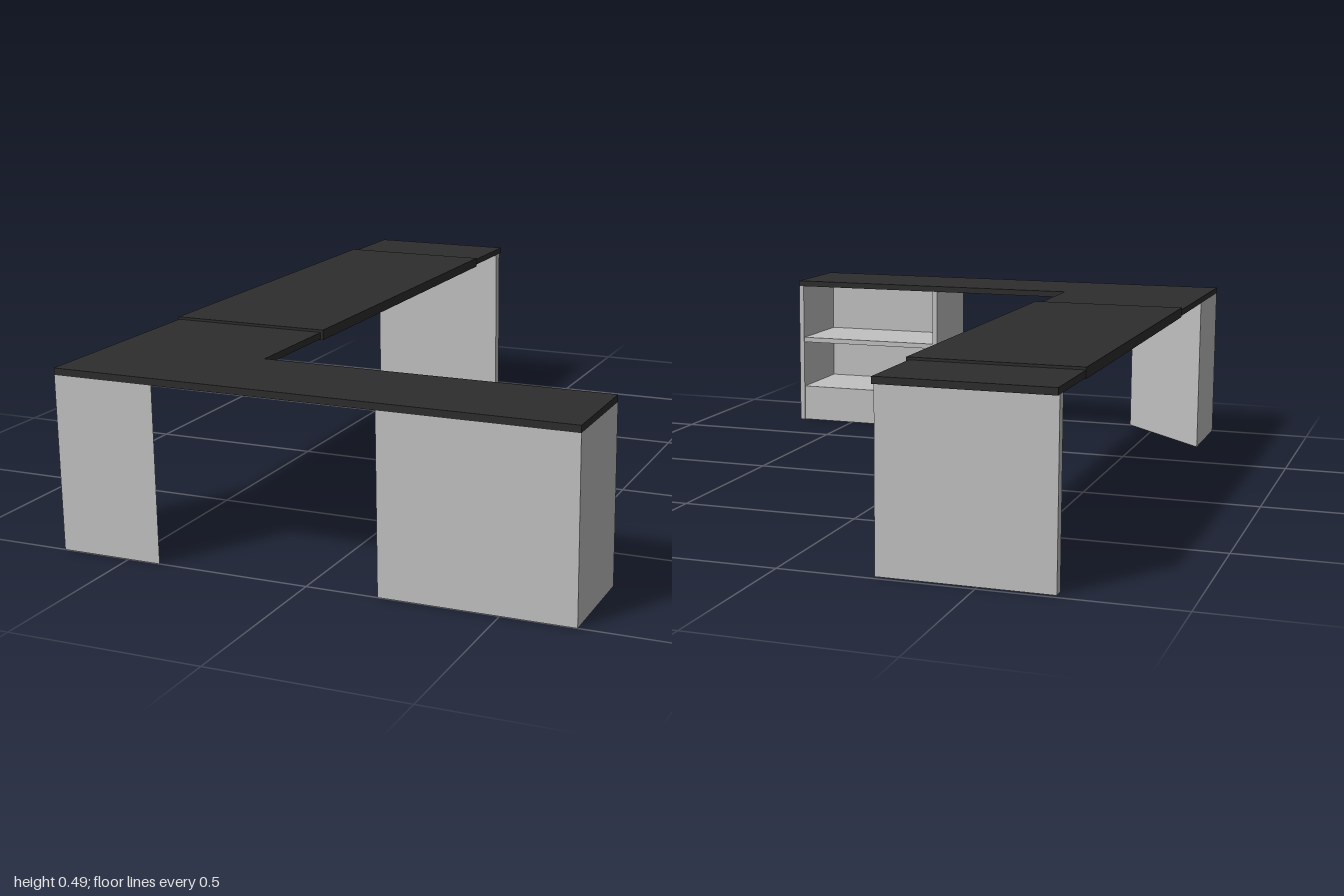
import * as THREE from 'three';

export function createModel() {
  const desk = new THREE.Group();
  desk.name = 'cornerDesk';

  const dark = new THREE.MeshStandardMaterial({ color: 0x2d2d2d });
  dark.name = 'darkTop';
  const grey = new THREE.MeshStandardMaterial({ color: 0xc2c2c2 });
  grey.name = 'greyPanel';

  // Box given by its minimum and maximum corners
  function box(parent, name, material, [x0, y0, z0], [x1, y1, z1]) {
    const geometry = new THREE.BoxGeometry(x1 - x0, y1 - y0, z1 - z0);
    geometry.translate((x0 + x1) / 2, (y0 + y1) / 2, (z0 + z1) / 2);
    const mesh = new THREE.Mesh(geometry, material);
    mesh.name = name;
    parent.add(mesh);
  }

  // Plan outline (x, z) raised from y0 to y1
  function slab(name, material, outline, y0, y1, hole) {
    const toPoints = (list) => list.map(([x, z]) => new THREE.Vector2(x, -z));
    const shape = new THREE.Shape(toPoints(outline));
    if (hole) shape.holes.push(new THREE.Path(toPoints(hole)));
    const geometry = new THREE.ExtrudeGeometry(shape, { depth: y1 - y0, bevelEnabled: false });
    geometry.rotateX(-Math.PI / 2);
    geometry.translate(0, y0, 0);
    const mesh = new THREE.Mesh(geometry, material);
    mesh.name = name;
    desk.add(mesh);
  }

  const L = -0.69, R = 0.69, under = 0.463, top = 0.481;

  // L-shaped top with a slightly raised work surface
  slab('deskTop', dark, [[L, 1], [R, 1], [R, 0.72], [-0.247, 0.72], [-0.247, -1], [L, -1]], under, top);
  box(desk, 'raisedWorkSurface', dark, [L - 0.001, 0.46, -0.75], [-0.24, 0.488, 0.4]);

  // End panel under the long wing
  box(desk, 'endPanel', grey, [L, 0, -0.985], [-0.247, under, -0.955]);

  // Hollow three-sided corner leg
  slab('cornerLeg', grey,
    [[L, 1], [-0.41, 1], [L, 0.72]], 0, under,
    [[L + 0.004, 0.996], [L + 0.004, 0.73], [-0.42, 0.996]]);

  // Cabinet open towards the back, under the short wing
  const cabinet = new THREE.Group();
  cabinet.name = 'cabinet';
  desk.add(cabinet);
  const x0 = 0.19, z0 = 0.72, t = 0.016;
  for (const [name, x] of [['cabinetInnerSide', x0], ['cabinetOuterSide', R - t]]) {
    box(cabinet, name, grey, [x, 0, z0], [x + t, under, 1]);
  }
  box(cabinet, 'cabinetFront', grey, [x0 + t, 0, 1 - t], [R - t, under, 1]);
  box(cabinet, 'plinth', grey, [x0 + t, 0, z0 + 0.004], [R - t, 0.1, z0 + 0.004 + t]);
  for (const [name, y] of [['bottomShelf', 0.1], ['middleShelf', 0.27]]) {
    box(cabinet, name, grey, [x0 + t, y, z0 + 0.004], [R - t, y + t, 1 - t]);
  }

  return desk;
}
